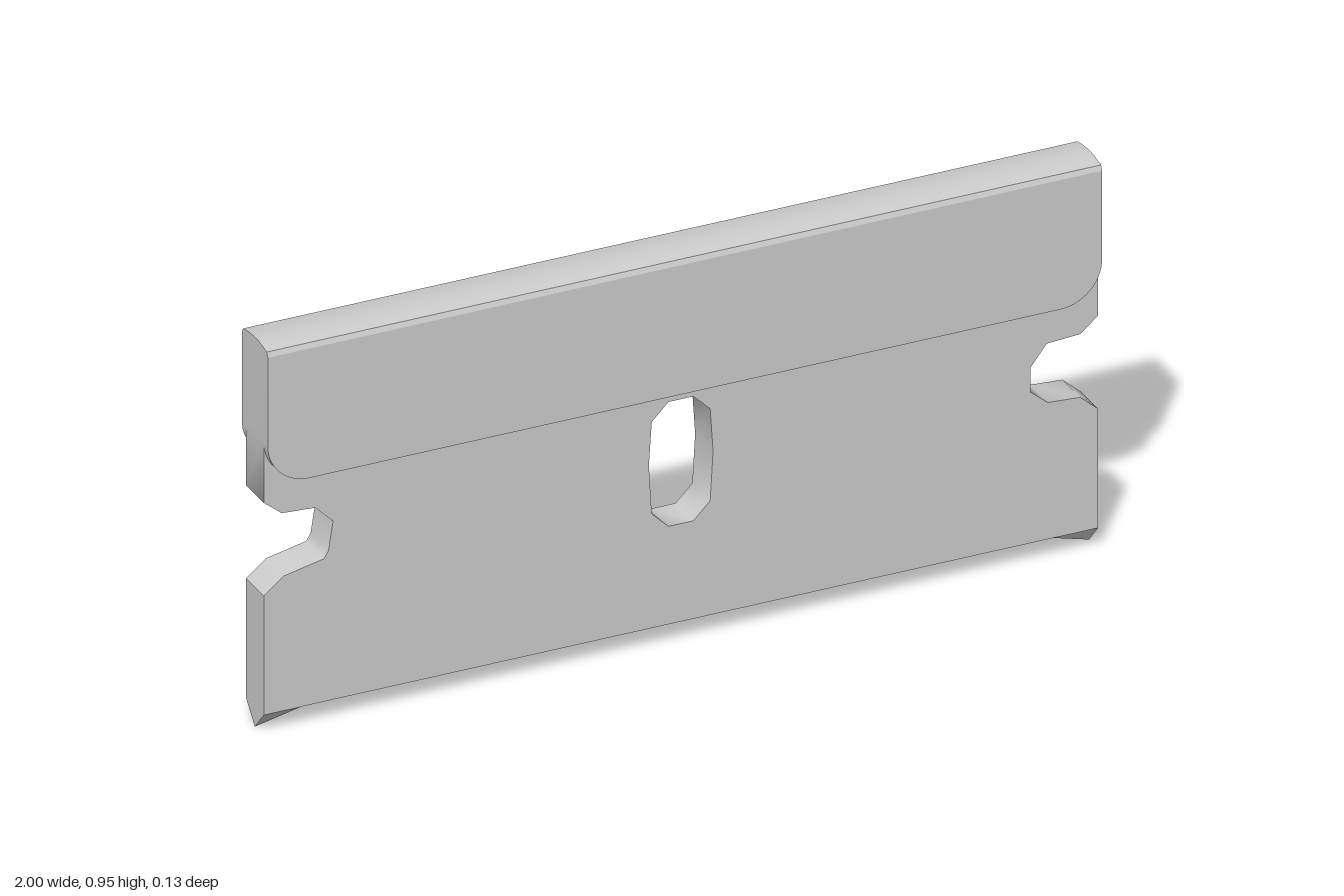
import * as THREE from 'three';
import { toCreasedNormals } from 'three/addons/utils/BufferGeometryUtils.js';

export function createModel() {
  const model = new THREE.Group();
  const steel = new THREE.MeshStandardMaterial({ color: 0xcccccc });
  steel.name = 'steel';

  const add = (name, geometry) => {
    const mesh = new THREE.Mesh(geometry, steel);
    mesh.name = name;
    model.add(mesh);
    return mesh;
  };
  const toPoints = (list) => list.map(([x, y]) => new THREE.Vector2(x, y));
  const plate = (shape, depth) =>
    new THREE.ExtrudeGeometry(shape, { depth, bevelEnabled: false, curveSegments: 8 })
      .translate(0, 0, -depth / 2);

  const T = 0.045;      // half thickness of the blade
  const S = 0.065;      // half thickness of the spine
  const BEVEL = 0.05;   // height where the edge bevel starts

  // Blade plate with a locating notch at each end and a slot in the middle
  const rightNotch = [[-1, 0.57], [-0.957, 0.535], [-0.877, 0.53], [-0.834, 0.487],
    [-0.845, 0.417], [-0.856, 0.4], [-0.952, 0.38], [-1, 0.342]];
  const leftNotch = [[1, 0.342], [0.957, 0.38], [0.88, 0.385], [0.838, 0.42],
    [0.838, 0.48], [0.877, 0.53], [0.957, 0.535], [1, 0.57]];
  const bladeShape = new THREE.Shape(toPoints([
    [-1, BEVEL], [1, BEVEL], ...leftNotch, [1, 0.74], [-1, 0.74], ...rightNotch,
  ]));
  bladeShape.holes.push(new THREE.Path(toPoints([
    [-0.03, 0.595], [0.03, 0.595], [0.07, 0.555], [0.077, 0.45], [0.07, 0.33],
    [0.03, 0.29], [-0.03, 0.29], [-0.07, 0.33], [-0.077, 0.45], [-0.07, 0.555],
  ])));
  add('blade', toCreasedNormals(plate(bladeShape, 2 * T), 0.9));

  // Cutting edge: triangular sections [x, tip y, tip z], with a shallow nick in the middle
  const sections = [[-1, 0, 0], [-0.91, 0.004, -T], [-0.15, 0.004, -T], [-0.07, 0.02, -T],
    [0.07, 0.02, -T], [0.14, 0.004, -T], [0.91, 0.004, -T], [1, 0, 0]];
  const positions = [];
  const corners = ([x, y, z]) => [[x, BEVEL, T], [x, y, z], [x, BEVEL, -T]];
  const triangle = (a, b, c) => positions.push(...a, ...b, ...c);
  for (let i = 0; i < sections.length - 1; i++) {
    const [f0, t0, b0] = corners(sections[i]);
    const [f1, t1, b1] = corners(sections[i + 1]);
    triangle(t0, t1, f1);
    triangle(t0, f1, f0);
    // the end facets fold from the outer back corner to the inner tip
    if (i === 0) {
      triangle(b0, b1, t1);
      triangle(b0, t1, t0);
    } else {
      triangle(b0, b1, t0);
      triangle(b1, t1, t0);
    }
  }
  const [fr, tr, br] = corners(sections[0]);
  const [fl, tl, bl] = corners(sections[sections.length - 1]);
  triangle(fr, br, tr);
  triangle(fl, tl, bl);
  const edge = new THREE.BufferGeometry();
  edge.setAttribute('position', new THREE.Float32BufferAttribute(positions, 3));
  edge.computeVertexNormals();
  add('cuttingEdge', edge);

  // Folded spine with rounded lower corners
  const R = 0.1, low = 0.618, top = 0.935;
  const spineShape = new THREE.Shape();
  spineShape.moveTo(-1, top);
  spineShape.lineTo(-1, low + R);
  spineShape.absellipse(-1 + R, low + R, R, R, Math.PI, Math.PI * 1.5, false);
  spineShape.lineTo(1 - R, low);
  spineShape.absellipse(1 - R, low + R, R, R, Math.PI * 1.5, Math.PI * 2, false);
  spineShape.lineTo(1, top);
  add('spine', toCreasedNormals(plate(spineShape, 2 * S), 0.6));

  // Slightly domed top of the spine, run along x
  const half = [[S, top], [0.06, 0.947], [0.04, 0.951], [0.02, 0.954]];
  const capShape = new THREE.Shape(toPoints([
    ...half, [0, 0.955], ...half.map(([z, y]) => [-z, y]).reverse(),
  ]));
  const cap = plate(capShape, 2).rotateY(Math.PI / 2);
  add('spineTop', toCreasedNormals(cap, 0.5));

  return model;
}
